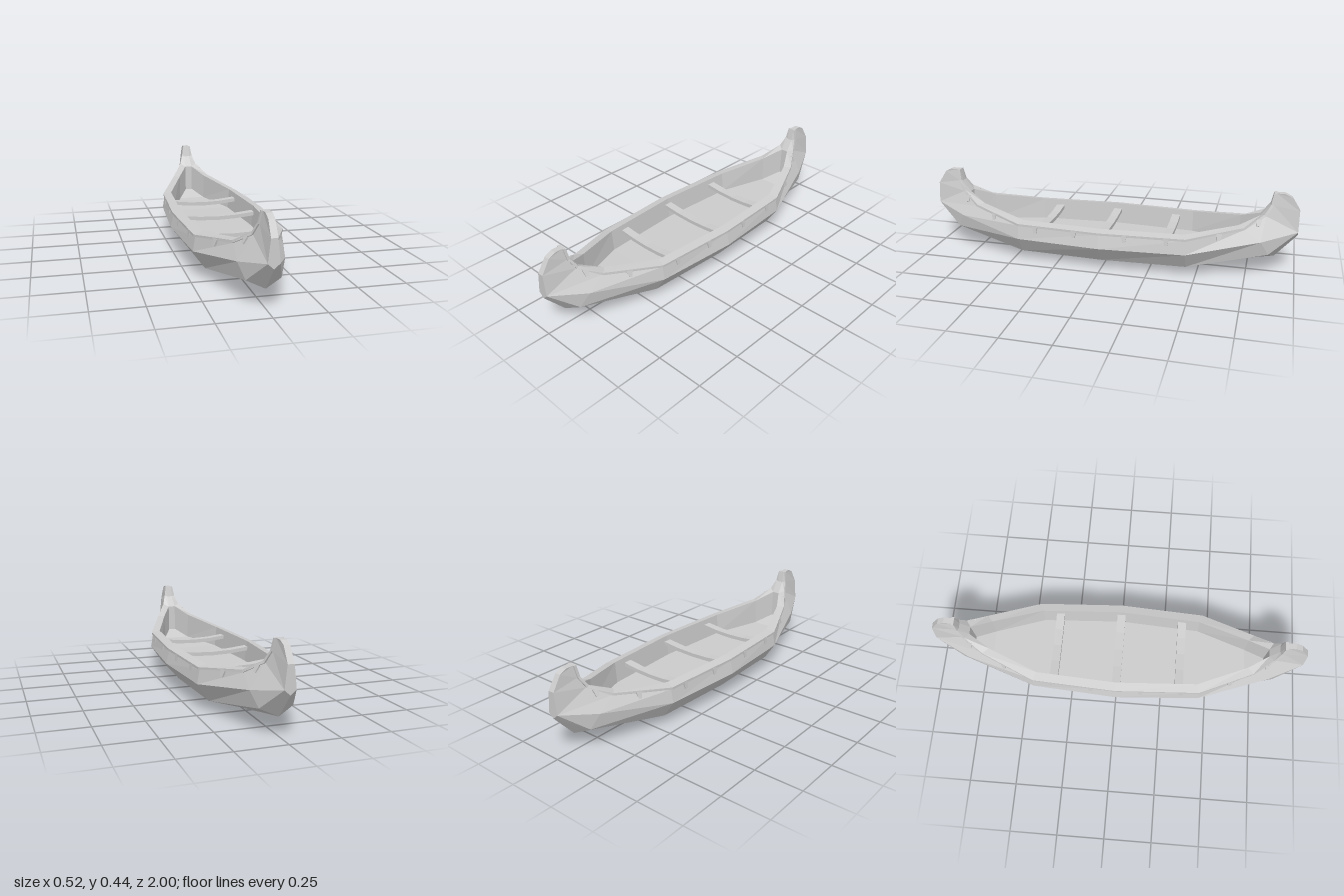
import * as THREE from 'three';

const material = new THREE.MeshStandardMaterial({ color: 0xcccccc, flatShading: true, side: THREE.DoubleSide });

// Lines running from midship to the bow, as [x, y, z] on the left front quarter.
const rimOuter = [[0.25, 0.224, 0], [0.225, 0.224, 0.45], [0.11, 0.27, 0.73], [0.05, 0.33, 0.825], [0.032, 0.38, 0.855], [0.022, 0.437, 0.865]];
const rimInner = [[0.205, 0.233, 0], [0.18, 0.233, 0.435], [0.078, 0.272, 0.7], [0.02, 0.315, 0.805], [0.014, 0.375, 0.85], [0.012, 0.437, 0.865]];
const drop = [[0, -0.012, 0], [0, -0.012, 0], [0, -0.012, 0.003], [0, -0.01, 0.01], [0, -0.004, 0.013], [0, 0, 0.014]];
const rimLower = rimOuter.map((p, i) => p.map((v, k) => v + drop[i][k]));
const hullTop = rimLower.map(([x, y, z]) => [x - 0.007, y, z]);
const bilge = [[0.26, 0.14, 0], [0.23, 0.14, 0.45], [0.11, 0.2, 0.82], [0.028, 0.24, 1], [0.016, 0.35, 1], [0.015, 0.42, 0.955]];
const chine = [[0.19, 0.05, 0], [0.17, 0.05, 0.45], [0.082, 0.125, 0.86]];
const keel = [[0, 0, 0], [0, 0, 0.45], [0, 0.09, 0.89]];
const keelEnd = [0, 0.215, 1];
const stemTop = [0.016, 0.437, 0.92];
const floorEdge = [[0.195, 0.12, 0], [0.17, 0.12, 0.435], [0.075, 0.13, 0.7], [0.02, 0.165, 0.8]];
const centre = (line) => line.map(([, y, z]) => [0, y, z]);

// Quads between two lines
function strip(a, b) {
  const faces = [];
  for (let i = 0; i < a.length - 1; i++) faces.push([a[i], a[i + 1], b[i + 1], b[i]]);
  return faces;
}

// Mirrors faces of one quarter into all four quarters
function quarters(name, faces) {
  const pos = [];
  for (const sx of [1, -1]) for (const sz of [1, -1]) {
    for (const f of faces) {
      const pts = sx * sz > 0 ? f : [...f].reverse();
      for (let i = 1; i < pts.length - 1; i++) {
        for (const p of [pts[0], pts[i], pts[i + 1]]) pos.push(p[0] * sx, p[1], p[2] * sz);
      }
    }
  }
  const geo = new THREE.BufferGeometry();
  geo.setAttribute('position', new THREE.Float32BufferAttribute(pos, 3));
  geo.computeVertexNormals();
  const mesh = new THREE.Mesh(geo, material);
  mesh.name = name;
  return mesh;
}

// Cross beam that sags a little towards its middle
function thwart(z, halfWidth) {
  const geo = new THREE.BoxGeometry(halfWidth * 2, 0.02, 0.045, 4, 1, 1);
  const p = geo.attributes.position;
  for (let i = 0; i < p.count; i++) {
    const t = Math.abs(p.getX(i)) / halfWidth;
    p.setY(i, p.getY(i) + 0.014 * t * t);
  }
  geo.computeVertexNormals();
  const mesh = new THREE.Mesh(geo, material);
  mesh.position.set(0, 0.18, z);
  mesh.name = 'thwart';
  return mesh;
}

// Point at a given z on a line
function pointAt(line, z) {
  let i = 0;
  while (i < line.length - 2 && line[i + 1][2] < z) i++;
  const a = new THREE.Vector3(...line[i]), b = new THREE.Vector3(...line[i + 1]);
  const tangent = b.clone().sub(a).normalize();
  return { point: a.lerp(b, (z - a.z) / (b.z - a.z)), tangent };
}

// Tapered peg lying on the hull just below the rim
function peg(geo, z) {
  const { point, tangent } = pointAt(hullTop, z);
  const down = pointAt(bilge, z).point.sub(point).normalize();
  const out = new THREE.Vector3().crossVectors(tangent, down).normalize();
  const along = new THREE.Vector3().crossVectors(out, down).normalize().negate();
  const up = down.clone().negate();
  if (out.x < 0) out.negate();
  along.crossVectors(out, up);
  const mesh = new THREE.Mesh(geo, material);
  mesh.quaternion.setFromRotationMatrix(new THREE.Matrix4().makeBasis(out, up, along));
  mesh.position.copy(point).addScaledVector(down, 0.012).addScaledVector(out, 0.002);
  mesh.name = 'rimPeg';
  return mesh;
}

export function createModel() {
  const group = new THREE.Group();
  group.name = 'canoe';

  // Outer hull, with the faceted lower bow
  const stemEdge = [...bilge.slice(3), stemTop, hullTop[5]];
  group.add(quarters('hull', [
    ...strip(hullTop, bilge),
    ...strip(bilge.slice(0, 3), chine),
    ...strip(chine, keel),
    [bilge[2], bilge[3], chine[2]],
    [chine[2], bilge[3], keelEnd, keel[2]],
    [hullTop[5], stemTop, bilge[5]],
  ]));

  // Flat strip up the stem and over its top
  group.add(quarters('stem', strip(stemEdge, [keelEnd, ...centre(stemEdge.slice(1))])));

  // Rim, sweeping up the inner side of each stem
  const post = rimInner.slice(3);
  group.add(quarters('rim', [
    ...strip(rimInner, rimOuter),
    ...strip(rimOuter, rimLower),
    ...strip(rimLower, hullTop),
    ...strip(centre(post), post),
    [[0, 0.437, 0.879], rimLower[5], rimOuter[5], [0, 0.437, 0.865]],
  ]));

  // Inside walls and floor
  group.add(quarters('innerWall', [
    ...strip(floorEdge, rimInner.slice(0, 4)),
    [floorEdge[3], ...centre([floorEdge[3], rimInner[3]]), rimInner[3]].reverse(),
  ]));
  group.add(quarters('floor', strip(centre(floorEdge), floorEdge)));

  // Three cross beams
  group.add(thwart(0, 0.201), thwart(0.34, 0.184), thwart(-0.34, 0.184));

  // Pegs under the rim in all four quarters
  const pegGeo = new THREE.CylinderGeometry(0.021, 0.011, 0.036, 4, 1).rotateY(Math.PI / 4).scale(0.45, 1, 1);
  for (const sx of [1, -1]) for (const sz of [1, -1]) {
    const set = new THREE.Group();
    set.name = 'rimPegs';
    for (const z of [0.135, 0.352, 0.61, 0.8]) set.add(peg(pegGeo, z));
    set.scale.set(sx, 1, sz);
    group.add(set);
  }
  return group;
}
